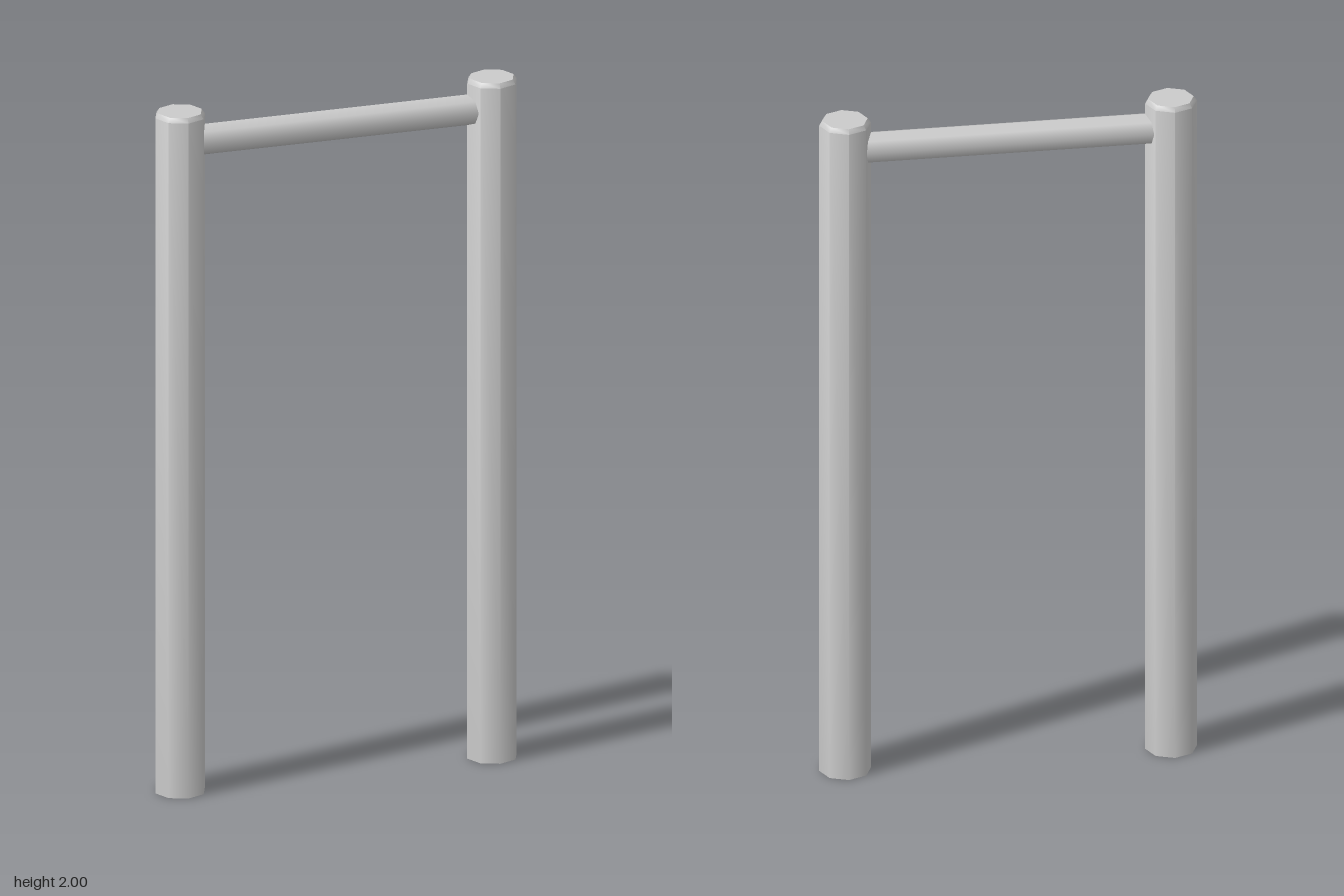
import * as THREE from 'three';
import { toCreasedNormals } from 'three/addons/utils/BufferGeometryUtils.js';

const SIDES = 8;
const POST_RADIUS = 0.073;
const POST_X = 0.46;
const BAR_RADIUS = 0.045;
const BAR_Y = 1.91;

export function createModel() {
  const group = new THREE.Group();
  group.name = 'pullUpBar';
  const material = new THREE.MeshStandardMaterial({ color: 0xcccccc });

  // Eight-sided post, smooth around, with a small bevel at the top rim
  const profile = [
    [0, 0], [POST_RADIUS, 0], [POST_RADIUS, 1.987], [POST_RADIUS - 0.009, 2], [0, 2],
  ].map(([r, y]) => new THREE.Vector2(r, y));
  const postGeometry = toCreasedNormals(new THREE.LatheGeometry(profile, SIDES), 0.9);

  for (const [name, side] of [['leftPost', 1], ['rightPost', -1]]) {
    const post = new THREE.Mesh(postGeometry, material);
    post.name = name;
    post.position.x = side * POST_X;
    group.add(post);
  }

  // Crossbar, its ends sunk into the posts
  const bar = new THREE.Mesh(
    new THREE.CylinderGeometry(BAR_RADIUS, BAR_RADIUS, 2 * POST_X, SIDES), material);
  bar.name = 'crossbar';
  bar.rotation.z = Math.PI / 2;
  bar.position.y = BAR_Y;
  group.add(bar);

  return group;
}
